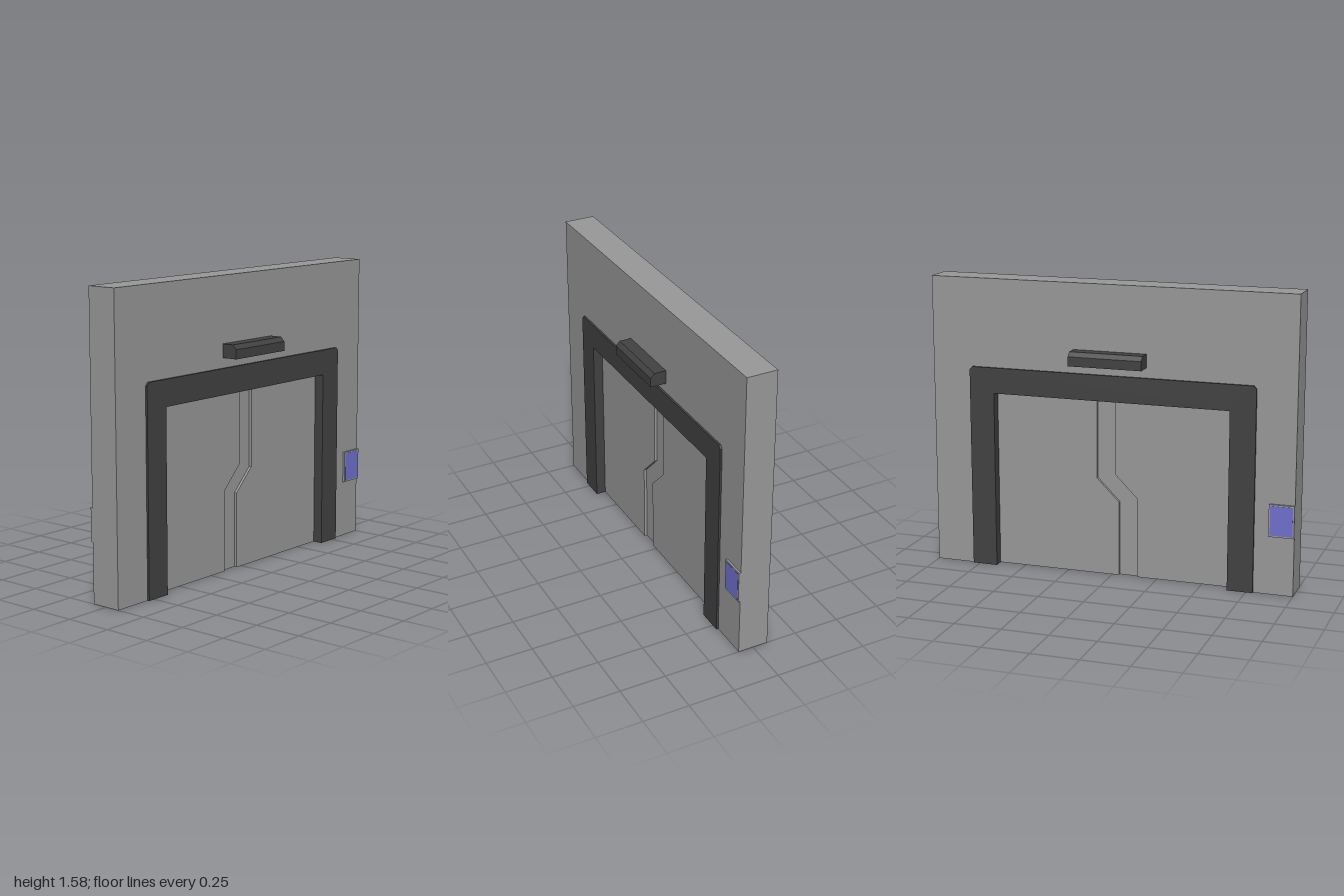
import * as THREE from 'three';

const mat = (name, color) => {
  const m = new THREE.MeshStandardMaterial({ color });
  m.name = name;
  return m;
};

export function createModel() {
  const group = new THREE.Group();
  const grey = mat('wallGrey', 0x999999);
  const dark = mat('darkTrim', 0x424242);
  const blue = mat('screenBlue', 0x7070d0);
  const red = mat('lampRed', 0xc00000);

  const add = (parent, name, geo, material, x = 0, y = 0, z = 0) => {
    const mesh = new THREE.Mesh(geo, material);
    mesh.name = name;
    mesh.position.set(x, y, z);
    parent.add(mesh);
    return mesh;
  };
  // Outline in the xy plane, extruded evenly to both sides of z = 0
  const slab = (points, half) => {
    const shape = new THREE.Shape(points.map(([x, y]) => new THREE.Vector2(x, y)));
    const geo = new THREE.ExtrudeGeometry(shape, { depth: half * 2, bevelEnabled: false });
    return geo.translate(0, 0, -half);
  };

  const WALL = 0.083, FRAME = 0.094, DOOR = 0.04, H = 1.58;

  // Wall with the doorway cut out
  add(group, 'wall', slab([
    [-1, 0], [-0.72, 0], [-0.72, 1.03], [0.72, 1.03], [0.72, 0], [1, 0], [1, H], [-1, H],
  ], WALL), grey);

  // Door frame lining the opening, with clipped upper corners
  add(group, 'doorFrame', slab([
    [-0.788, 0], [-0.65, 0], [-0.65, 0.963], [0.65, 0.963], [0.65, 0], [0.788, 0],
    [0.788, 1.085], [0.773, 1.102], [-0.773, 1.102], [-0.788, 1.085],
  ], FRAME), dark);

  // Two door leaves with a recessed zigzag seam between them
  const leftEdge = [[-0.14, 0], [-0.14, 0.435], [-0.015, 0.56], [-0.015, 0.963]];
  const rightEdge = [[-0.038, 0], [-0.038, 0.408], [0.085, 0.53], [0.085, 0.963]];
  add(group, 'rightDoorLeaf', slab([[-0.65, 0], ...leftEdge, [-0.65, 0.963]], DOOR), grey);
  add(group, 'leftDoorLeaf', slab([[0.65, 0], [0.65, 0.963], ...[...rightEdge].reverse()], DOOR), grey);
  add(group, 'doorSeam', slab([...leftEdge, ...[...rightEdge].reverse()], DOOR - 0.015), grey);

  // Lamp and control panel, repeated on the back by a half turn
  for (const side of ['front', 'back']) {
    const fittings = new THREE.Group();
    fittings.name = side + 'Fittings';
    if (side === 'back') fittings.rotation.y = Math.PI;
    group.add(fittings);

    // Lamp housing: sloped hood with a rim around the recessed light
    const hood = new THREE.Shape([
      [0.08, 1.17], [0.17, 1.17], [0.17, 1.205], [0.148, 1.228], [0.08, 1.228],
    ].map(([z, y]) => new THREE.Vector2(-z, y)));
    const hoodGeo = new THREE.ExtrudeGeometry(hood, { depth: 0.4, bevelEnabled: false });
    hoodGeo.translate(0, 0, -0.2).rotateY(Math.PI / 2);
    add(fittings, 'lampHood', hoodGeo, dark);
    for (const z of [0.087, 0.163]) {
      add(fittings, 'lampRim', new THREE.BoxGeometry(0.4, 0.015, 0.014), dark, 0, 1.1625, z);
    }
    for (const x of [-0.193, 0.193]) {
      add(fittings, 'lampRimEnd', new THREE.BoxGeometry(0.014, 0.015, 0.062), dark, x, 1.1625, 0.125);
    }
    add(fittings, 'lampLight', new THREE.BoxGeometry(0.372, 0.006, 0.062), red, 0, 1.167, 0.125);

    // Control panel with its screen
    add(fittings, 'controlPanel', new THREE.BoxGeometry(0.135, 0.174, 0.012), grey, 0.9325, 0.402, 0.088);
    add(fittings, 'controlScreen', new THREE.BoxGeometry(0.119, 0.158, 0.002), blue, 0.9325, 0.402, 0.0945);
  }
  return group;
}
